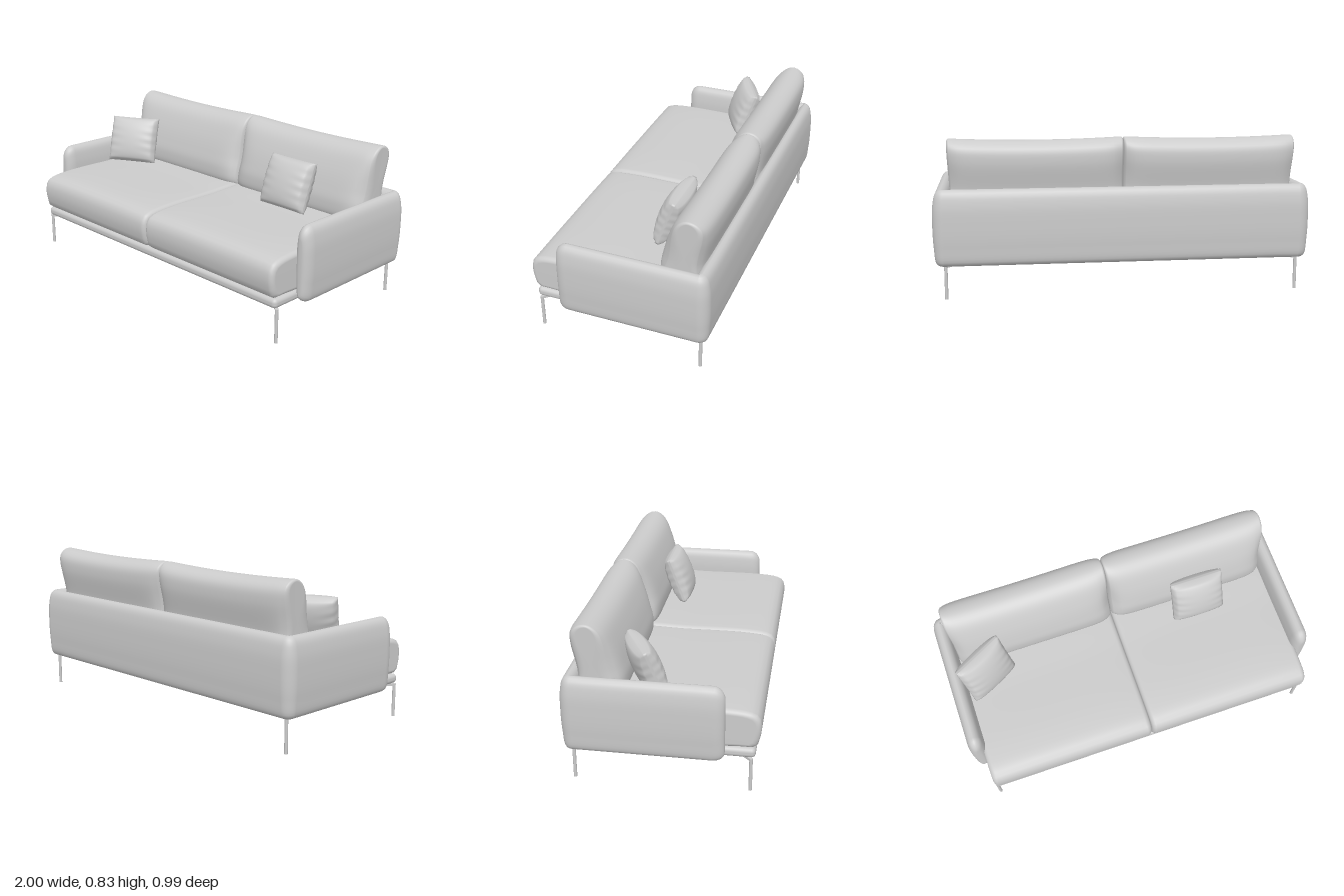
import * as THREE from 'three';
import { mergeVertices } from 'three/addons/utils/BufferGeometryUtils.js';
import { RoundedBoxGeometry } from 'three/addons/geometries/RoundedBoxGeometry.js';

const material = new THREE.MeshStandardMaterial({ color: 0xcccccc, roughness: 0.8 });
const { mapLinear, smoothstep, lerp } = THREE.MathUtils;

function addMesh(parent, name, geometry, x = 0, y = 0, z = 0) {
  const mesh = new THREE.Mesh(geometry, material);
  mesh.name = name;
  mesh.position.set(x, y, z);
  parent.add(mesh);
  return mesh;
}

// Smooth closed cross-section through a few points
function section(points, count) {
  const curve = new THREE.CatmullRomCurve3(
    points.map(([a, b]) => new THREE.Vector3(a, b, 0)), true, 'centripetal');
  return curve.getSpacedPoints(count).slice(0, count);
}

// Closed solid through a row of rings, each end closed by a fan
function loft(rings) {
  const n = rings[0].length, pos = [], index = [];
  rings.forEach(ring => ring.forEach(p => pos.push(p.x, p.y, p.z)));
  for (let i = 0; i < rings.length - 1; i++) {
    for (let j = 0; j < n; j++) {
      const a = i * n + j, b = i * n + (j + 1) % n;
      index.push(a, b, a + n, b, b + n, a + n);
    }
  }
  [0, rings.length - 1].forEach(i => {
    const c = new THREE.Vector3();
    rings[i].forEach(p => c.addScaledVector(p, 1 / n));
    const hub = pos.length / 3;
    pos.push(c.x, c.y, c.z);
    for (let j = 0; j < n; j++) {
      const a = i * n + j, b = i * n + (j + 1) % n;
      if (i === 0) index.push(hub, b, a); else index.push(hub, a, b);
    }
  });
  // Turn the faces outward if the solid came out inside out
  const v = k => new THREE.Vector3().fromArray(pos, index[k] * 3);
  let volume = 0;
  for (let k = 0; k < index.length; k += 3) volume += v(k).dot(v(k + 1).cross(v(k + 2)));
  if (volume < 0) index.reverse();
  const g = new THREE.BufferGeometry();
  g.setAttribute('position', new THREE.Float32BufferAttribute(pos, 3));
  g.setIndex(index);
  g.computeVertexNormals();
  return g;
}

// Cushion: a (z, y) section run along x with rounded ends; shape() bends it
function cushion(points, x0, x1, r, shape) {
  const pts = section(points, 72);
  const box = new THREE.Box2().setFromPoints(pts);
  const c = box.getCenter(new THREE.Vector2());
  const half = box.getSize(new THREE.Vector2()).multiplyScalar(0.5);
  const ends = [];
  for (let i = 0; i <= 8; i++) {
    const a = i / 8 * Math.PI / 2;
    ends.push([r * (1 - Math.cos(a)), r * (1 - Math.sin(a))]);
  }
  const row = ends.map(([t, d]) => [x0 + t, d]);
  for (let i = 1; i < 40; i++) row.push([x0 + r + (x1 - x0 - 2 * r) * i / 40, 0]);
  [...ends].reverse().forEach(([t, d]) => row.push([x1 - t, d]));
  return loft(row.map(([x, d]) => {
    const s = (2 * x - x0 - x1) / (x1 - x0);
    return pts.map(p => {
      const z = c.x + (p.x - c.x) * (1 - d / half.x);
      const y = c.y + (p.y - c.y) * (1 - d / half.y);
      return shape(x, y, z, s);
    });
  }));
}

// Back cushion: full in the middle, drawn together from front and back toward each end
function bendBackCushion(x, y, z, u) {
  const high = smoothstep(y, 0.45, 0.82);
  const seam = mapLinear(y, 0.6, 0.82, -0.35, -0.367);
  const thin = y < 0.6 ? lerp(0.3, 0.6, smoothstep(0.6 - y, 0, 0.15)) : lerp(0.3, 0.65, smoothstep(y, 0.62, 0.82));
  const full = Math.sqrt(Math.max(0, 1 - Math.abs(u) ** 10));
  return new THREE.Vector3(
    x * (1 + 0.013 * (high - 1)),
    y + 0.012 * (u * u - 0.8) * high,
    seam + (z - seam) * lerp(thin, 1, full));
}

// Arms and back as one padded band around three sides
function shellGeometry() {
  const pts = section([[0, 0.178], [0.028, 0.188], [0.042, 0.28], [0.046, 0.4], [0.042, 0.5], [0.026, 0.562],
    [0, 0.58], [-0.028, 0.562], [-0.043, 0.5], [-0.046, 0.4], [-0.043, 0.29], [-0.027, 0.19]], 56);
  const X = 0.953, front = 0.322, back = -0.446, r = 0.014, tip = 0.06;
  const side = [];
  for (let i = 0; i <= 10; i++) {
    const a = i / 10 * Math.PI / 2;
    side.push({ x: X, z: front - tip * (1 - Math.cos(a)), nx: 1, nz: 0, k: Math.sin(a) });
  }
  for (let i = 1; i < 10; i++) {
    side.push({ x: X, z: front - tip + (back + r - front + tip) * i / 10, nx: 1, nz: 0, k: 1 });
  }
  for (let i = 0; i <= 10; i++) {
    const a = i / 10 * Math.PI / 2, nx = Math.cos(a), nz = -Math.sin(a);
    side.push({ x: X - r + r * nx, z: back + r + r * nz, nx, nz, k: 1 });
  }
  const span = [];
  for (let i = 1; i < 16; i++) span.push({ x: (X - r) * (1 - i / 8), z: back, nx: 0, nz: -1, k: 1 });
  const other = side.map(f => ({ ...f, x: -f.x, nx: -f.nx })).reverse();
  return loft([...side, ...span, ...other].map(f => pts.map(p => {
    const o = p.x * (0.15 + 0.85 * f.k);
    const pinch = p.y > 0.38 ? 0.36 : 0.2;
    const y = 0.38 + (p.y - 0.38) * (1 - pinch * (1 - f.k));
    return new THREE.Vector3(f.x + f.nx * o, y, f.z + f.nz * o);
  })));
}

// Throw pillow: a plump square with blunt, slightly puckered edges
function pillowGeometry(w, h, t) {
  const g = new THREE.BoxGeometry(2, 2, 2, 28, 28, 4);
  const p = g.attributes.position;
  for (let i = 0; i < p.count; i++) {
    const u = p.getX(i), v = p.getY(i);
    const puff = Math.pow((1 - u * u) * (1 - v * v), 0.36);
    const crease = 0.04 * Math.sin(v * 17 + u * 2) * u * u * (1 - v * v);
    p.setXYZ(i,
      u * w / 2 * (1 - 0.015 * (1 - v * v)),
      v * h / 2 * (1 - 0.01 * (1 - u * u)),
      p.getZ(i) * t / 2 * (0.14 + 0.86 * puff + crease));
  }
  g.deleteAttribute('normal');
  g.deleteAttribute('uv');
  const smooth = mergeVertices(g, 1e-5);
  smooth.computeVertexNormals();
  return smooth;
}

export function createModel() {
  const sofa = new THREE.Group();
  sofa.name = 'sofa';

  addMesh(sofa, 'armAndBackShell', shellGeometry());
  addMesh(sofa, 'baseFrame', new RoundedBoxGeometry(1.86, 0.052, 0.92, 4, 0.022), 0, 0.209, 0.01);

  const seat = [[0.4, 0.238], [0.47, 0.244], [0.488, 0.29], [0.495, 0.35], [0.482, 0.41], [0.445, 0.433],
    [0.33, 0.447], [0, 0.447], [-0.35, 0.44], [-0.39, 0.4], [-0.39, 0.28], [-0.35, 0.238]];
  const rest = [[-0.2, 0.44], [-0.185, 0.52], [-0.2, 0.6], [-0.232, 0.7], [-0.275, 0.785], [-0.312, 0.818],
    [-0.355, 0.832], [-0.41, 0.821], [-0.446, 0.788], [-0.454, 0.72], [-0.43, 0.58], [-0.41, 0.45], [-0.3, 0.43]];

  for (const s of [1, -1]) {
    const label = s > 0 ? 'left' : 'right';
    const span = (inner, outer) => s > 0 ? [inner, outer] : [-outer, -inner];
    // Seat and back cushions
    addMesh(sofa, label + 'SeatCushion', cushion(seat, ...span(0.001, 0.928), 0.027, (x, y, z, u) =>
      new THREE.Vector3(x, y - (y > 0.35 ? 0.08 * (y - 0.35) * u ** 4 : 0), z)));
    addMesh(sofa, label + 'BackCushion', cushion(rest, ...span(0.001, 0.918), 0.012, bendBackCushion));

    // Thin round legs, each with a flat bar running diagonally inward
    for (const [place, x, z] of [['Front', 0.924, 0.449], ['Back', 0.936, -0.438]]) {
      const leg = new THREE.Group();
      leg.name = label + place + 'Leg';
      leg.position.set(s * x, 0, z);
      addMesh(leg, 'post', new THREE.CylinderGeometry(0.0088, 0.0088, 0.182, 16), 0, 0.091, 0);
      const dx = -s, dz = -Math.sign(z);
      const bar = addMesh(leg, 'mountingBar', new THREE.BoxGeometry(0.142, 0.013, 0.016), dx * 0.047, 0.1755, dz * 0.047);
      bar.rotation.y = -dx * dz * Math.PI / 4;
      sofa.add(leg);
    }
  }

  // Two throw pillows leaning back
  const pillow = pillowGeometry(0.3, 0.275, 0.14);
  for (const [name, x, z, yaw] of [['rightPillow', -0.775, -0.093, 0.48], ['leftPillow', 0.48, -0.128, 0]]) {
    const mesh = addMesh(sofa, name, pillow, x, 0.583, z);
    mesh.rotation.set(-0.36, yaw, 0, 'YXZ');
  }
  return sofa;
}
